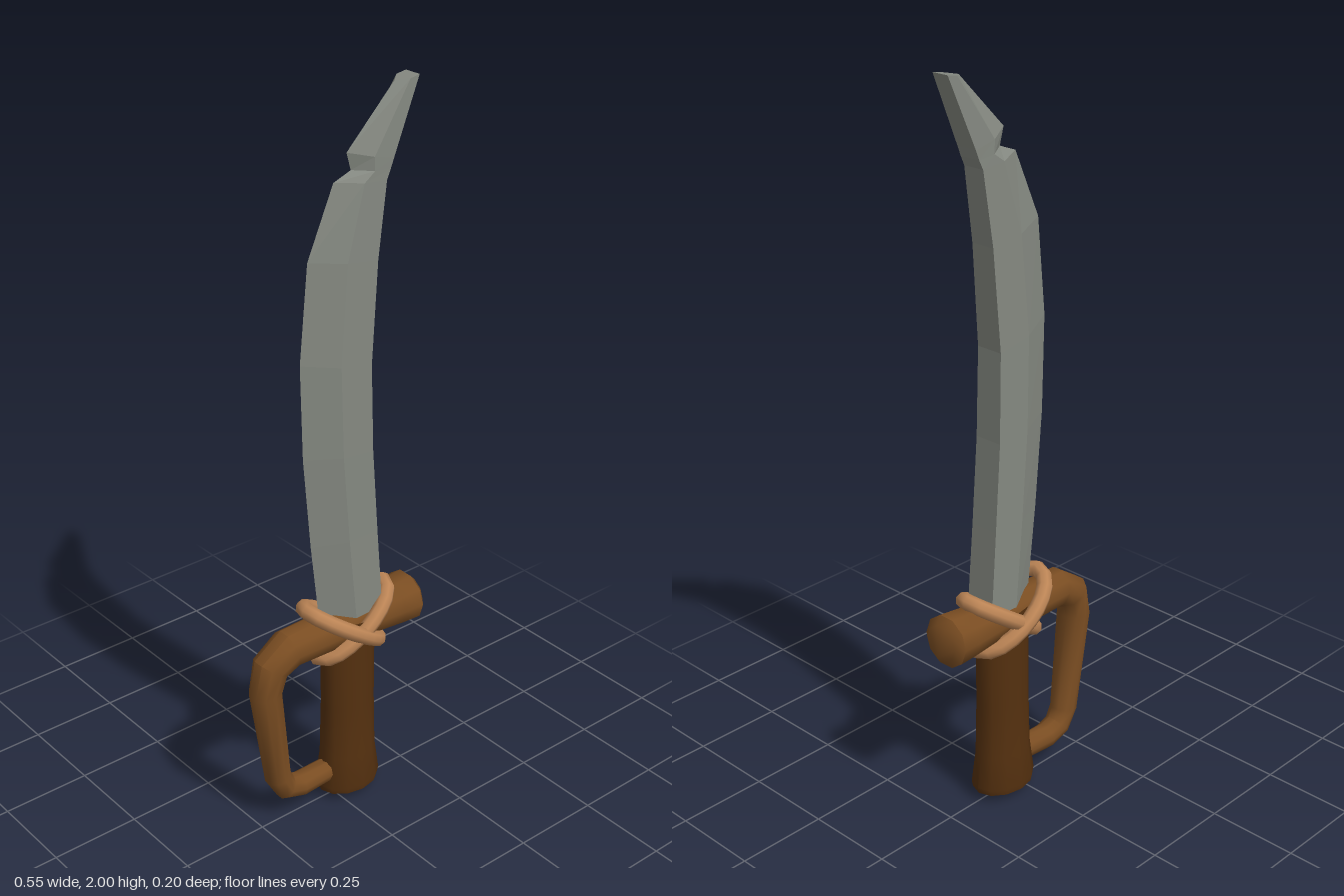
import * as THREE from 'three';
import { toCreasedNormals } from 'three/addons/utils/BufferGeometryUtils.js';

const steel = new THREE.MeshStandardMaterial({ color: 0x848880 });
steel.name = 'steel';
const darkWood = new THREE.MeshStandardMaterial({ color: 0x54300f });
darkWood.name = 'dark wood';
const wood = new THREE.MeshStandardMaterial({ color: 0x7a4d22 });
wood.name = 'wood';
const rope = new THREE.MeshStandardMaterial({ color: 0xbb8455 });
rope.name = 'rope';

// Joins equal-sized rings of points into a closed skin with both ends capped
function loft(rings, crease) {
  const n = rings[0].length;
  const pos = [];
  const tri = (a, b, c) => pos.push(...a, ...b, ...c);
  for (let i = 0; i < rings.length - 1; i++) {
    for (let j = 0; j < n; j++) {
      const k = (j + 1) % n;
      const [a, b, c, d] = [rings[i][j], rings[i][k], rings[i + 1][k], rings[i + 1][j]];
      tri(a, b, c);
      tri(a, c, d);
    }
  }
  const last = rings[rings.length - 1];
  for (let j = 1; j < n - 1; j++) {
    tri(rings[0][0], rings[0][j + 1], rings[0][j]);
    tri(last[0], last[j], last[j + 1]);
  }
  const g = new THREE.BufferGeometry();
  g.setAttribute('position', new THREE.Float32BufferAttribute(pos, 3));
  g.computeVertexNormals();
  return crease ? toCreasedNormals(g, crease) : g;
}

export function createModel() {
  const model = new THREE.Group();
  const add = (name, geometry, material) => {
    const mesh = new THREE.Mesh(geometry, material);
    mesh.name = name;
    model.add(mesh);
    return mesh;
  };

  // Blade: [edge x, edge y, spine x, spine y, half thickness]
  const stations = [
    [-0.045, 0.56, 0.135, 0.56, 0.045],
    [-0.075, 0.82, 0.115, 0.82, 0.043],
    [-0.098, 1.08, 0.098, 1.06, 0.042],
    [-0.105, 1.34, 0.092, 1.3, 0.04],
    [-0.08, 1.6, 0.112, 1.57, 0.036],
    [0.0, 1.78, 0.14, 1.765, 0.032],
    [0.053, 1.8, 0.152, 1.79, 0.031],
    [0.04, 1.845, 0.162, 1.815, 0.031],
    [0.185, 1.99, 0.243, 2.0, 0.025],
  ];
  add('blade', loft(stations.map(([ex, ey, sx, sy, t]) => {
    const mx = ex + (sx - ex) * 0.5;
    const my = ey + (sy - ey) * 0.5;
    return [[ex, ey, 0], [mx, my, t], [sx, sy, t * 0.97], [sx, sy, -t * 0.97], [mx, my, -t]];
  })), steel);

  // Grip with a flared, slightly domed foot
  const profile = [[0, 0.004], [0.05, 0.01], [0.093, 0.028], [0.097, 0.045], [0.084, 0.14], [0.08, 0.3], [0.08, 0.57]];
  const gripGeo = new THREE.LatheGeometry(profile.map(([r, y]) => new THREE.Vector2(r, y)), 12);
  gripGeo.scale(1, 1, 0.75);
  gripGeo.translate(0.05, 0, 0);
  add('grip', toCreasedNormals(gripGeo, 0.7), darkWood);

  // Crossguard and knuckle bow: [x, y, radius] along one bent, tapering branch
  const path = [
    [0.274, 0.549, 0.05], [0.256, 0.549, 0.072], [0.2, 0.547, 0.068], [0.1, 0.545, 0.058],
    [-0.05, 0.545, 0.056], [-0.155, 0.545, 0.054], [-0.213, 0.51, 0.05], [-0.23, 0.44, 0.045],
    [-0.194, 0.15, 0.037], [-0.168, 0.104, 0.036], [-0.12, 0.088, 0.035], [0.02, 0.094, 0.032],
  ];
  const sides = 10;
  const rings = path.map(([x, y, r], i) => {
    const a = path[Math.max(i - 1, 0)];
    const b = path[Math.min(i + 1, path.length - 1)];
    const len = Math.hypot(b[0] - a[0], b[1] - a[1]);
    const nx = -(b[1] - a[1]) / len;
    const ny = (b[0] - a[0]) / len;
    return Array.from({ length: sides }, (_, j) => {
      const t = (j + 0.5) / sides * Math.PI * 2;
      return [x + nx * r * Math.cos(t), y + ny * r * Math.cos(t), r * Math.sin(t)];
    });
  });
  add('guard', loft(rings, 0.8), wood);

  // Two oval rope loops crossing over the guard
  for (const [name, x, tilt, halfLength, halfDepth] of [
    ['ropeLoopA', 0.028, -0.6, 0.137, 0.079],
    ['ropeLoopB', 0.06, 0.6, 0.137, 0.067],
  ]) {
    const points = Array.from({ length: 12 }, (_, i) => {
      const t = i / 12 * Math.PI * 2;
      return new THREE.Vector3(Math.cos(t) * halfLength, 0, Math.sin(t) * halfDepth);
    });
    const curve = new THREE.CatmullRomCurve3(points, true);
    const loop = add(name, new THREE.TubeGeometry(curve, 20, 0.022, 8, true), rope);
    loop.position.set(x, 0.55, 0);
    loop.rotation.z = tilt;
  }

  return model;
}
